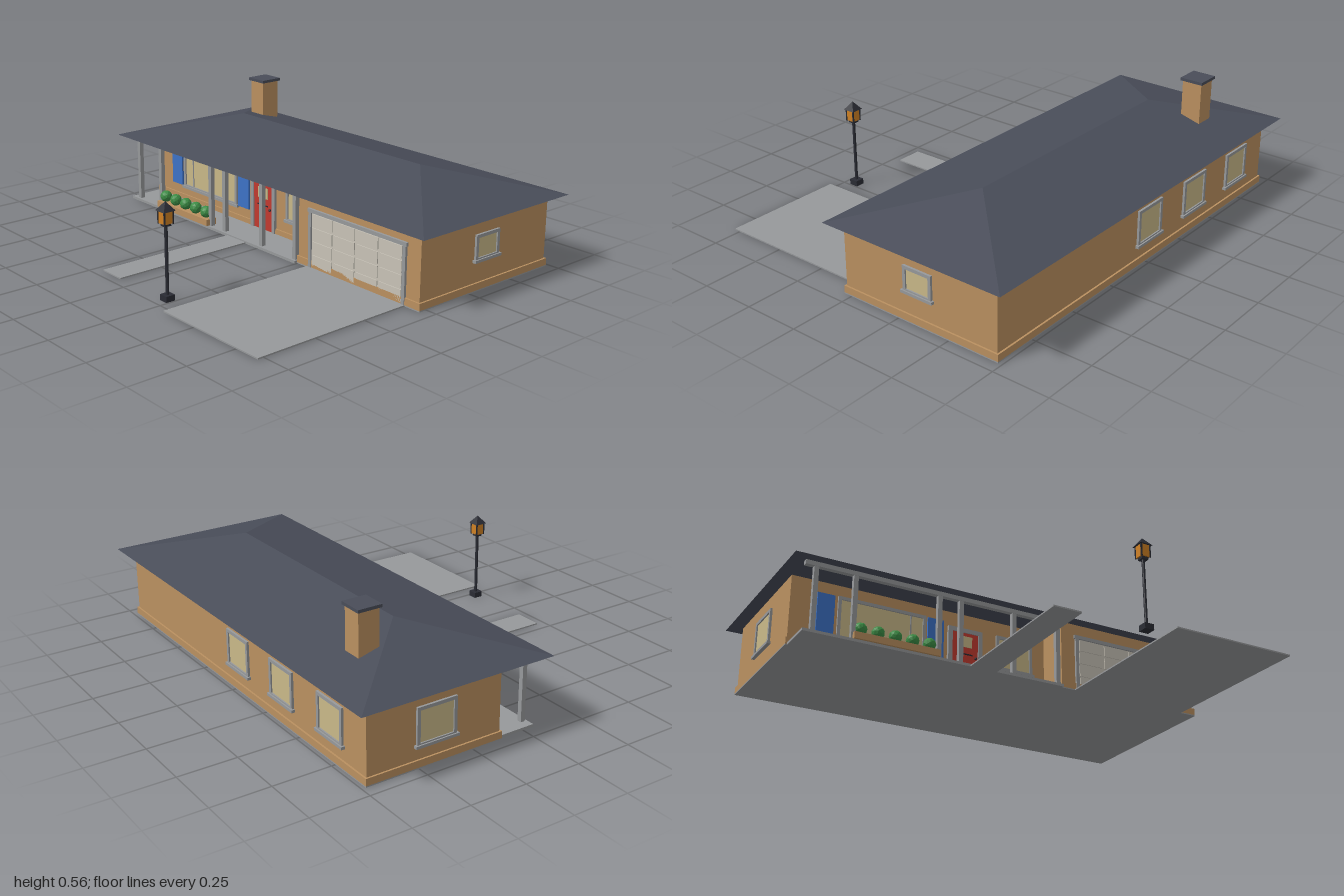
import * as THREE from 'three';

const mat = (name, color) => {
  const m = new THREE.MeshStandardMaterial({ color });
  m.name = name;
  return m;
};

export function createModel() {
  const brick = mat('tan brick', 0xba9060);
  const slate = mat('slate roof', 0x494d59);
  const stone = mat('grey concrete and trim', 0x97999b);
  const pane = mat('warm window', 0xc9b888);
  const cream = mat('garage door', 0xc8c3b7);
  const blue = mat('blue shutter', 0x3d72c6);
  const red = mat('red door', 0xc23a2f);
  const leaf = mat('green leaf', 0x3c8d45);
  const iron = mat('black iron', 0x2a2c34);
  const amber = mat('amber lamp glass', 0xcf8124);
  leaf.flatShading = slate.flatShading = iron.flatShading = true;

  const house = new THREE.Group();
  house.name = 'house';
  const add = (parent, name, geo, material, x = 0, y = 0, z = 0) => {
    const mesh = new THREE.Mesh(geo, material);
    mesh.name = name;
    mesh.position.set(x, y, z);
    parent.add(mesh);
    return mesh;
  };
  // Box given by its extents along each axis
  const box = (parent, name, m, x0, x1, y0, y1, z0, z1) =>
    add(parent, name, new THREE.BoxGeometry(x1 - x0, y1 - y0, z1 - z0), m,
      (x0 + x1) / 2, (y0 + y1) / 2, (z0 + z1) / 2);
  const group = (name, x, y, z, turn = 0) => {
    const g = new THREE.Group();
    g.name = name;
    g.position.set(x, y, z);
    g.rotation.y = turn;
    house.add(g);
    return g;
  };

  // Two wall blocks with plinths: recessed living part and garage
  for (const [name, x0, x1, front] of [['living', -0.94, 0.25, -0.12], ['garage', 0.25, 0.94, 0.03]]) {
    const left = x0 < 0 ? x0 - 0.008 : x0 - 0.004;
    const right = x1 > 0.5 ? x1 + 0.008 : x1;
    box(house, name + 'Foundation', stone, left, right, 0, 0.005, -0.733, front + 0.008);
    box(house, name + 'Plinth', brick, left, right, 0.005, 0.035, -0.733, front + 0.008);
    box(house, name + 'Walls', brick, x0, x1, 0.035, 0.315, -0.725, front);
  }

  // Hip roof with flat underside
  const e = 0.315, h = 0.432, f = 0.085, b = -0.785, r = 0.57, rz = -0.35;
  const A = [-1, e, f], B = [1, e, f], C = [1, e, b], D = [-1, e, b], L = [-r, h, rz], R = [r, h, rz];
  const roof = new THREE.BufferGeometry();
  roof.setAttribute('position', new THREE.Float32BufferAttribute([
    A, B, R, A, R, L, B, C, R, C, D, L, C, L, R, D, A, L, A, D, C, A, C, B].flat(), 3));
  roof.computeVertexNormals();
  add(house, 'roof', roof, slate);

  // Chimney
  box(house, 'chimney', brick, -0.695, -0.607, 0.315, 0.55, -0.592, -0.5);
  box(house, 'chimneyCap', slate, -0.705, -0.598, 0.55, 0.563, -0.6, -0.493);

  // Paving
  box(house, 'porchFloor', stone, -0.94, 0.246, 0, 0.012, -0.12, 0.05);
  box(house, 'driveway', stone, 0.31, 0.87, 0, 0.006, 0.038, 0.778);
  box(house, 'walkway', stone, -0.205, -0.08, 0, 0.006, 0.05, 0.71);

  // Porch beam and posts
  box(house, 'porchBeam', stone, -0.94, 0.262, 0.295, 0.314, 0.018, 0.04);
  for (const x of [-0.893, -0.722, -0.343, -0.243, 0.01, 0.228])
    box(house, 'porchPost', stone, x - 0.01, x + 0.01, 0.012, 0.295, 0.019, 0.039);

  // Framed window with sill, facing its own +z
  const addWindow = (name, x, y, z, w, ht, turn, mullions = []) => {
    const g = group(name, x, y, z, turn);
    const t = 0.014, a = w / 2, c = ht / 2;
    box(g, 'glass', pane, -a + t, a - t, -c + t, c - t, 0, 0.004);
    for (const s of [-1, 1]) {
      box(g, 'frameSide', stone, s * (a - t / 2) - t / 2, s * (a - t / 2) + t / 2, -c, c, 0, 0.01);
      box(g, 'frameRail', stone, -a + t, a - t, s * (c - t / 2) - t / 2, s * (c - t / 2) + t / 2, 0, 0.01);
    }
    for (const m of mullions) box(g, 'mullion', stone, m - 0.003, m + 0.003, -c + t, c - t, 0, 0.007);
    box(g, 'sill', stone, -a - 0.008, a + 0.008, -c - 0.004, -c + 0.008, 0, 0.016);
  };
  addWindow('pictureWindow', -0.535, 0.17, -0.12, 0.4, 0.19, 0, [-0.13, 0.13]);
  addWindow('porchWindow', 0.095, 0.17, -0.12, 0.18, 0.16, 0, [0]);
  addWindow('rightWindow', 0.94, 0.184, -0.348, 0.14, 0.112, Math.PI / 2);
  addWindow('leftWindow', -0.94, 0.17, -0.42, 0.18, 0.16, -Math.PI / 2);
  for (const x of [-0.025, -0.365, -0.71])
    addWindow('backWindow', x, 0.17, -0.725, 0.17, 0.16, Math.PI);

  // Shutters
  for (const x of [-0.788, -0.288])
    box(house, 'shutter', blue, x - 0.038, x + 0.038, 0.08, 0.262, -0.12, -0.111);

  // Front door
  const door = group('frontDoor', -0.148, 0, -0.12);
  box(door, 'doorLeaf', red, -0.062, 0.062, 0.013, 0.226, 0, 0.009);
  box(door, 'doorPane', pane, -0.033, 0.033, 0.16, 0.21, 0.009, 0.012);
  box(door, 'mailSlot', iron, -0.035, 0.035, 0.125, 0.13, 0.009, 0.012);
  add(door, 'doorKnob', new THREE.SphereGeometry(0.006, 10, 8), iron, 0.05, 0.115, 0.013);
  for (const s of [-1, 1])
    box(door, 'doorJamb', stone, s * 0.072 - 0.01, s * 0.072 + 0.01, 0.012, 0.245, 0, 0.014);
  box(door, 'doorHead', stone, -0.082, 0.082, 0.226, 0.245, 0, 0.014);

  // Garage door with four by four raised panels
  const garage = group('garageDoor', 0.593, 0, 0.03);
  box(garage, 'doorBacking', cream, -0.26, 0.26, 0.006, 0.246, 0, 0.004);
  for (let i = 0; i < 4; i++)
    for (let j = 0; j < 4; j++) {
      const x = -0.195 + i * 0.13, y = 0.037 + j * 0.06;
      box(garage, 'doorPanel', cream, x - 0.059, x + 0.059, y - 0.025, y + 0.025, 0.004, 0.008);
    }
  for (const s of [-1, 1])
    box(garage, 'garageJamb', stone, s * 0.267 - 0.008, s * 0.267 + 0.008, 0.006, 0.246, 0, 0.011);
  box(garage, 'garageHead', stone, -0.28, 0.28, 0.246, 0.262, 0, 0.011);

  // Planter and shrubs
  box(house, 'planter', brick, -0.725, -0.345, 0.013, 0.042, 0.005, 0.058);
  for (let i = 0; i < 5; i++) {
    const bush = add(house, 'shrub', new THREE.IcosahedronGeometry(0.028, 1), leaf, -0.69 + i * 0.0765, 0.067, 0.03);
    bush.rotation.y = i * 0.7;
  }

  // Yard lamp
  const lamp = group('yardLamp', 0.224, 0, 0.695);
  box(lamp, 'lampBase', iron, -0.021, 0.021, 0, 0.025, -0.021, 0.021);
  add(lamp, 'lampPole', new THREE.CylinderGeometry(0.007, 0.007, 0.29, 10), iron, 0, 0.165, 0);
  box(lamp, 'lampCollar', iron, -0.015, 0.015, 0.308, 0.319, -0.015, 0.015);
  box(lamp, 'lampGlass', amber, -0.021, 0.021, 0.319, 0.37, -0.021, 0.021);
  for (const x of [-0.02, 0.02])
    for (const z of [-0.02, 0.02])
      box(lamp, 'lampCorner', iron, x - 0.003, x + 0.003, 0.317, 0.37, z - 0.003, z + 0.003);
  const cap = add(lamp, 'lampCap', new THREE.ConeGeometry(0.04, 0.037, 4), iron, 0, 0.3885, 0);
  cap.rotation.y = Math.PI / 4;

  return house;
}
